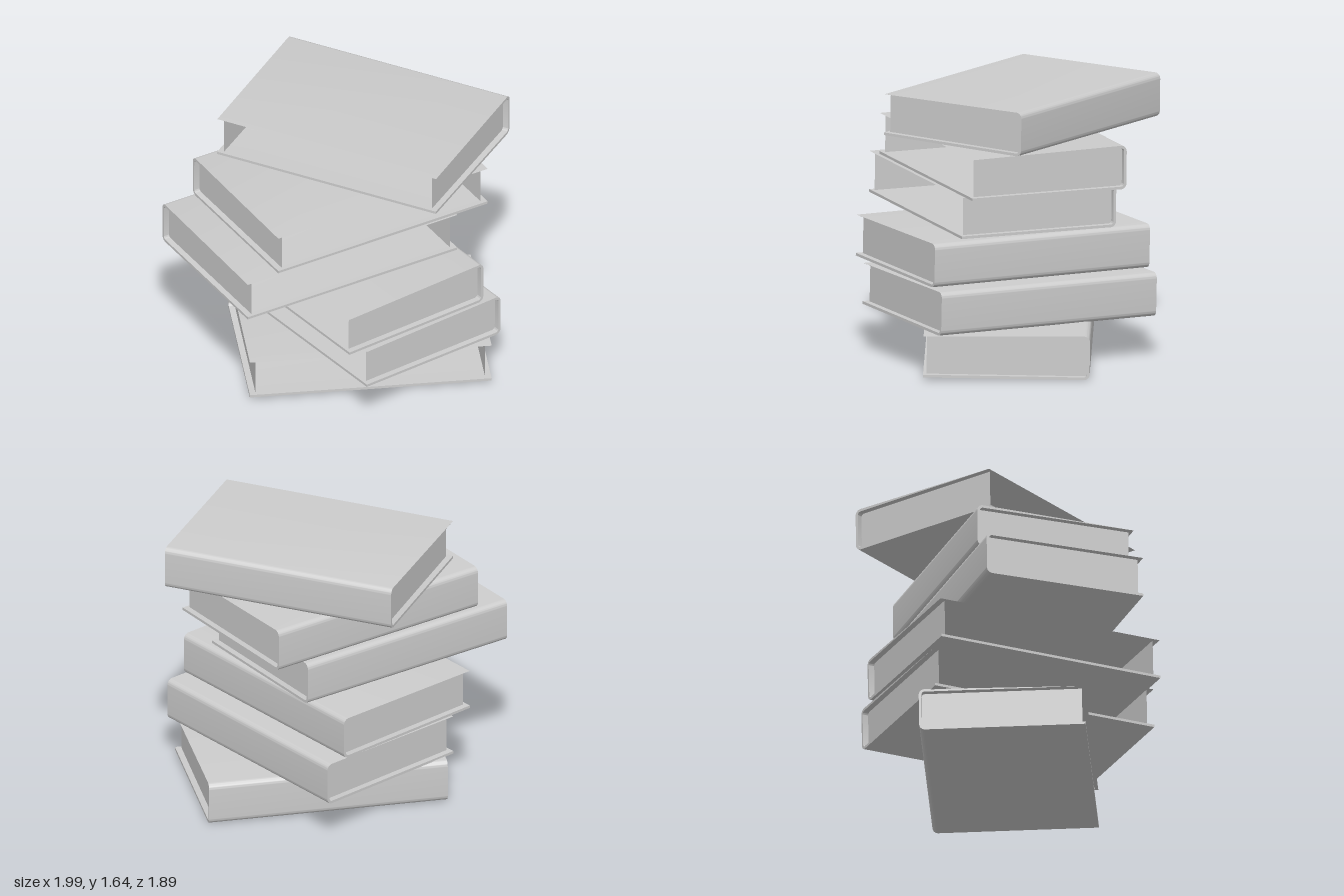
import * as THREE from 'three';
import { toCreasedNormals } from 'three/addons/utils/BufferGeometryUtils.js';

const LENGTH = 1.434, DEPTH = 0.98, THICK = 0.262;
const BOARD = 0.016, ROUND = 0.035;      // cover thickness, spine corner radius
const END_INSET = 0.036, FORE_INSET = 0.02;

const material = new THREE.MeshStandardMaterial({ color: 0xcccccc });
const sheetMaterial = new THREE.MeshStandardMaterial({ color: 0xcccccc, side: THREE.DoubleSide });

// U-shaped cover section, spine on the -x side, extruded along the book's length
function coverGeometry() {
  const d = DEPTH / 2, t = THICK / 2, r = ROUND, b = BOARD;
  const s = new THREE.Shape();
  s.moveTo(d, t);
  s.absarc(-d + r, t - r, r, Math.PI / 2, Math.PI, false);
  s.absarc(-d + r, -t + r, r, Math.PI, Math.PI * 1.5, false);
  s.lineTo(d, -t);
  s.lineTo(d, -t + b);
  s.absarc(-d + r, -t + r, r - b, Math.PI * 1.5, Math.PI, true);
  s.absarc(-d + r, t - r, r - b, Math.PI, Math.PI / 2, true);
  s.lineTo(d, t - b);
  s.closePath();
  const g = new THREE.ExtrudeGeometry(s, { depth: LENGTH, bevelEnabled: false, curveSegments: 6 });
  g.translate(0, 0, -LENGTH / 2);
  g.rotateY(-Math.PI / 2);
  return toCreasedNormals(g, 0.6);
}

// Thin wall closing the head or tail of the pages; the fore edge stays open
function pageEndGeometry() {
  const depth = DEPTH - FORE_INSET - BOARD;
  const g = new THREE.PlaneGeometry(depth, THICK - BOARD * 2);
  g.rotateY(Math.PI / 2);
  g.translate(0, 0, (BOARD - FORE_INSET) / 2);
  return g;
}

// Each book: centre x, y, z, turn about y, slight tilt towards the back
const BOOKS = [
  [0.13, 0.141, -0.09, 0.312, 0.0145],
  [0.135, 0.401, -0.098, -0.75, 0.022],
  [0.045, 0.669, -0.025, -0.75, 0.021],
  [-0.135, 0.94, 0.10, 0.72, 0.006],
  [0.025, 1.208, -0.02, 0.72, 0.006],
  [0.135, 1.514, -0.175, -0.276, 0.015],
];

export function createModel() {
  const stack = new THREE.Group();
  stack.name = 'bookStack';
  const cover = coverGeometry();
  const pageEnd = pageEndGeometry();

  BOOKS.forEach(([x, y, z, turn, tilt], i) => {
    const book = new THREE.Group();
    book.name = `book${i + 1}`;

    const coverMesh = new THREE.Mesh(cover, material);
    coverMesh.name = 'cover';
    book.add(coverMesh);

    for (const side of [-1, 1]) {
      const end = new THREE.Mesh(pageEnd, sheetMaterial);
      end.name = side > 0 ? 'pageEndLeft' : 'pageEndRight';
      end.position.x = side * (LENGTH / 2 - END_INSET);
      book.add(end);
    }

    book.position.set(x, y, z);
    book.rotation.set(-tilt, turn, 0);
    stack.add(book);
  });
  return stack;
}
